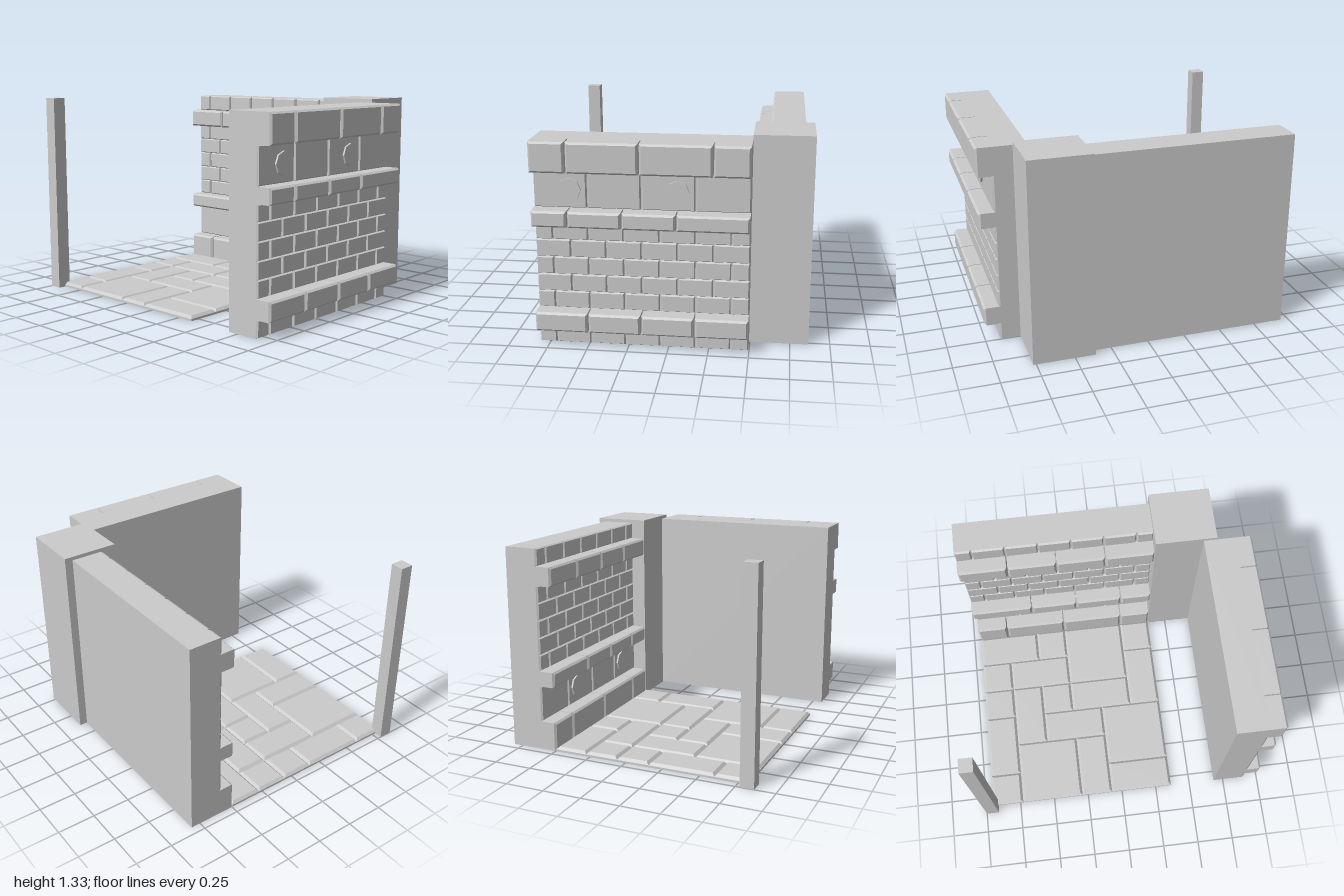
import * as THREE from 'three';

const material = new THREE.MeshStandardMaterial({ color: 0xcccccc, flatShading: true });
const SIZE = 1.31; // wall width, wall height and floor side
const HALF = SIZE / 2;
const UNIT = SIZE / 6;

function addMesh(parent, name, geometry, x, y, z) {
  const mesh = new THREE.Mesh(geometry, material);
  mesh.name = name;
  mesh.position.set(x, y, z);
  parent.add(mesh);
  return mesh;
}

// Box standing on z = 0 whose front (+z) rim is chamfered
function chamferedBlock(w, h, d, inset, drop) {
  const geometry = new THREE.BoxGeometry(w, h, d, 1, 1, 2);
  const p = geometry.attributes.position;
  for (let i = 0; i < p.count; i++) {
    const z = p.getZ(i);
    if (z > d / 4) {
      p.setX(i, p.getX(i) - Math.sign(p.getX(i)) * inset);
      p.setY(i, p.getY(i) - Math.sign(p.getY(i)) * inset);
    } else if (z > -d / 4) {
      p.setZ(i, d / 2 - drop);
    }
  }
  geometry.translate(0, 0, d / 2);
  const flat = geometry.toNonIndexed();
  flat.computeVertexNormals();
  return flat;
}

function boxBetween(parent, name, x0, x1, y0, y1, z0, z1) {
  addMesh(parent, name, new THREE.BoxGeometry(x1 - x0, y1 - y0, z1 - z0),
    (x0 + x1) / 2, (y0 + y1) / 2, (z0 + z1) / 2);
}

// Wall centred on its own x and y, back at z = 0, brickwork facing +z
function createWall(name) {
  const wall = new THREE.Group();
  wall.name = name;
  const base = 0.205, brickFace = 0.223, bandFace = 0.318;
  boxBetween(wall, 'wallBody', -HALF, HALF, -HALF, HALF, 0, base);

  const even = [1, 2, 3, 4, 5].map((i) => -HALF + i * UNIT);
  const odd = [0, 1, 2, 3, 4, 5].map((i) => -HALF + (i + 0.5) * UNIT);
  const thirds = [-1.5 * UNIT, 0, 1.5 * UNIT];

  // Courses from bottom to top: [name, y0, y1, face depth, joints]
  const courses = [
    ['footBrick', 0, 0.112, brickFace, odd],
    ['lowerBandBrick', 0.112, 0.235, bandFace, thirds],
    ['brick', 0.235, 0.345, brickFace, odd],
    ['brick', 0.345, 0.457, brickFace, even],
    ['brick', 0.457, 0.57, brickFace, odd],
    ['brick', 0.57, 0.682, brickFace, even],
    ['brick', 0.682, 0.787, brickFace, odd],
    ['middleBandBrick', 0.787, 0.887, bandFace, [-2 * UNIT, -0.5 * UNIT, UNIT]],
    ['panelBlock', 0.887, 1.122, brickFace, thirds],
    ['topBandBrick', 1.122, SIZE, bandFace, [-2 * UNIT, 0, 2 * UNIT]],
  ];
  for (const [label, y0, y1, face, joints] of courses) {
    const edges = [-HALF, ...joints, HALF];
    for (let i = 0; i < edges.length - 1; i++) {
      const x0 = edges[i] + (i > 0 ? 0.004 : 0);
      const x1 = edges[i + 1] - (i < edges.length - 2 ? 0.004 : 0);
      const bevel = face === bandFace ? 0.012 : 0.007;
      addMesh(wall, label, chamferedBlock(x1 - x0, y1 - y0, face - base, bevel, 0.013),
        (x0 + x1) / 2, (y0 + y1) / 2 - HALF, base);
    }
  }

  // Octagonal studs on the panel course
  for (const x of [-2 * UNIT, UNIT]) {
    const stud = new THREE.CylinderGeometry(0.073, 0.073, 0.03, 8);
    stud.rotateX(Math.PI / 2);
    addMesh(wall, 'stud', stud, x, 1.003 - HALF, brickFace - 0.003);
  }
  return wall;
}

// Paved floor: tiles given in grid cells as [col0, col1, row0, row1], rows from back to front
function createFloor() {
  const floor = new THREE.Group();
  floor.name = 'floor';
  boxBetween(floor, 'floorBase', -HALF, HALF, 0, 0.01, -HALF, HALF);
  const tiles = [
    [0, 1, 0, 1], [1, 3, 0, 1], [3, 4, 0, 1], [4, 5, 0, 1], [5, 6, 0, 2],
    [0, 2, 1, 3], [2, 4, 1, 2], [4, 5, 1, 3], [5, 6, 2, 3],
    [2, 3, 2, 4], [3, 4, 2, 3], [0, 2, 3, 4], [3, 4, 3, 5], [4, 6, 3, 5],
    [0, 1, 4, 6], [1, 3, 4, 6], [3, 5, 5, 6], [5, 6, 5, 6],
  ];
  for (const [c0, c1, r0, r1] of tiles) {
    const tile = chamferedBlock((c1 - c0) * UNIT, (r1 - r0) * UNIT, 0.02, 0.017, 0.017);
    tile.rotateX(-Math.PI / 2);
    addMesh(floor, 'floorTile', tile,
      (c0 + c1) / 2 * UNIT - HALF, 0.01, (r0 + r1) / 2 * UNIT - HALF);
  }
  return floor;
}

export function createModel() {
  const model = new THREE.Group();
  model.name = 'roomCorner';

  const frontWall = createWall('frontWall');
  frontWall.position.set(-0.16, HALF, 0.682);
  model.add(frontWall);

  // Side wall: same brickwork upside down, facing into the room
  const sideWall = createWall('sideWall');
  sideWall.setRotationFromMatrix(new THREE.Matrix4().makeBasis(
    new THREE.Vector3(0, 0, -1), new THREE.Vector3(0, -1, 0), new THREE.Vector3(-1, 0, 0)));
  sideWall.position.set(0.812, HALF, -0.292);
  model.add(sideWall);

  const floor = createFloor();
  floor.position.set(-0.16, 0, -0.292);
  model.add(floor);

  boxBetween(model, 'cornerPillar', 0.495, 0.865, 0, 1.333, 0.365, 0.77);
  boxBetween(model, 'thinPost', -0.867, -0.777, 0, 1.333, -1, -0.912);
  return model;
}
